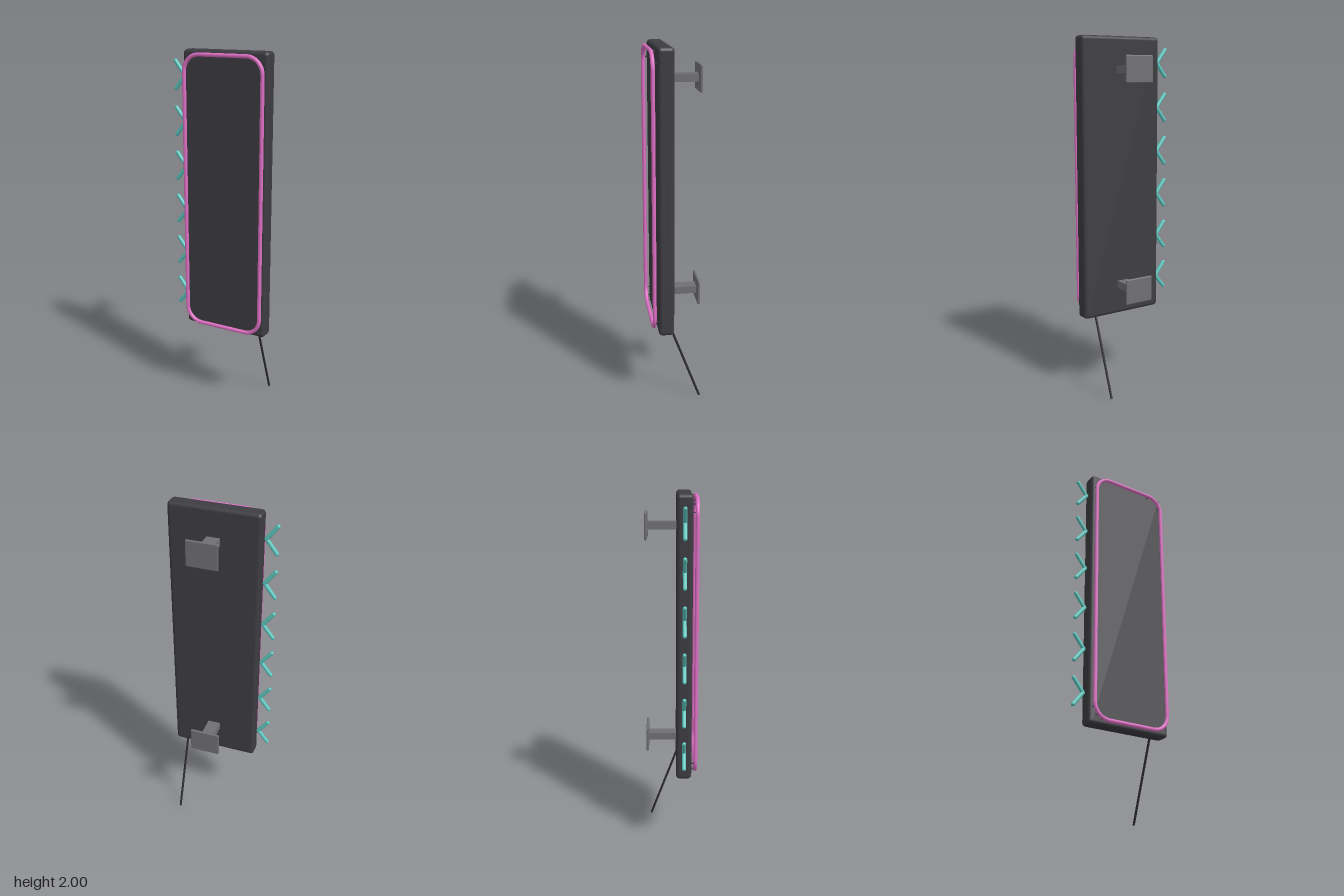
import * as THREE from 'three';
import { RoundedBoxGeometry } from 'three/addons/geometries/RoundedBoxGeometry.js';

const material = (name, color) => {
  const m = new THREE.MeshStandardMaterial({ color });
  m.name = name;
  return m;
};

export function createModel() {
  const charcoal = material('charcoal', 0x3d3c42);
  const black = material('black', 0x2b2b2d);
  const grey = material('grey', 0x707074);
  const pink = material('pink', 0xe070c6);
  const teal = material('teal', 0x5cc8c0);

  const model = new THREE.Group();
  model.name = 'wallSign';

  const add = (parent, name, geometry, mat, x = 0, y = 0, z = 0) => {
    const mesh = new THREE.Mesh(geometry, mat);
    mesh.name = name;
    mesh.position.set(x, y, z);
    parent.add(mesh);
    return mesh;
  };

  // Round rod between two points, with domed or flat ends
  const rod = (parent, name, a, b, radius, mat, domed) => {
    const dir = b.clone().sub(a);
    const length = dir.length();
    const geometry = domed
      ? new THREE.CapsuleGeometry(radius, length, 6, 12)
      : new THREE.CylinderGeometry(radius, radius, length, 10);
    const mesh = add(parent, name, geometry, mat);
    mesh.position.copy(a).add(b).multiplyScalar(0.5);
    mesh.quaternion.setFromUnitVectors(new THREE.Vector3(0, 1, 0), dir.normalize());
    return mesh;
  };
  const v = (x, y, z) => new THREE.Vector3(x, y, z);

  const cx = 0.041, cy = 1.219, cz = 0.067;

  // Main panel
  add(model, 'panel', new RoundedBoxGeometry(0.499, 1.562, 0.086, 2, 0.02), charcoal, cx, cy, cz);

  // Glowing tube: a rounded rectangle swept with a round section
  const halfW = 0.23, halfH = 0.757, r = 0.09, tubeZ = 0.132;
  const path = new THREE.CurvePath();
  const w = halfW - r, h = halfH - r;
  const corners = [[w, h], [-w, h], [-w, -h], [w, -h]];
  const ringPoints = [];
  corners.forEach(([x, y], i) => {
    for (let k = 0; k <= 10; k++) {
      const a = (i + k / 10) * Math.PI / 2;
      ringPoints.push(v(cx + x + r * Math.cos(a), cy + y + r * Math.sin(a), tubeZ));
    }
  });
  ringPoints.forEach((p, i) => path.add(new THREE.LineCurve3(p, ringPoints[(i + 1) % ringPoints.length])));
  // Sample the sweep at the outline points themselves
  const outline = new THREE.Curve();
  outline.getPoint = (t, target = new THREE.Vector3()) => {
    const n = ringPoints.length, s = (t % 1) * n, i = Math.floor(s) % n;
    return target.lerpVectors(ringPoints[i], ringPoints[(i + 1) % n], s - Math.floor(s));
  };
  outline.getPointAt = outline.getPoint;
  outline.getTangentAt = (t, target = new THREE.Vector3()) => {
    const n = ringPoints.length, i = Math.round(t * n) % n;
    const a = (Math.floor(i / 11) + (i % 11) / 10) * Math.PI / 2;
    return target.set(-Math.sin(a), Math.cos(a), 0);
  };
  add(model, 'neonTube', new THREE.TubeGeometry(outline, ringPoints.length, 0.011, 10, true), pink);

  // Small posts holding the tube off the panel
  const posts = new THREE.Group();
  posts.name = 'tubePosts';
  model.add(posts);
  for (const side of [1, -1]) {
    for (const [x, dy] of [[-0.188, 0.69], [-0.163, 0.731], [-0.136, 0.749], [0.184, 0.757], [0.264, 0.7]]) {
      rod(posts, 'tubePost', v(x, cy + side * dy, 0.105), v(x, cy + side * dy, tubeZ), 0.003, charcoal, false);
    }
  }

  // Wall brackets on the back
  for (const [name, y] of [['upperBracket', 1.824], ['lowerBracket', 0.613]]) {
    const bracket = new THREE.Group();
    bracket.name = name;
    bracket.position.set(cx, y, 0);
    model.add(bracket);
    add(bracket, 'bracketArm', new THREE.BoxGeometry(0.072, 0.042, 0.17), grey, 0, 0, -0.054);
    add(bracket, 'wallPlate', new RoundedBoxGeometry(0.172, 0.144, 0.014, 2, 0.006), grey, 0, 0, -0.14);
  }

  // Column of chevrons along the right edge
  for (let i = 0; i < 6; i++) {
    const chevron = new THREE.Group();
    chevron.name = 'chevron';
    chevron.position.set(0, 0.61 + i * 0.25, cz);
    model.add(chevron);
    for (const side of [1, -1]) {
      rod(chevron, 'chevronArm', v(-0.281, side * 0.074, 0), v(-0.224, 0, 0), 0.011, teal, true);
    }
  }

  // Power cable trailing back from the lower edge
  rod(model, 'cable', v(0.219, 0.45, 0.036), v(0.219, 0.003, -0.13), 0.0065, black, false);

  return model;
}
